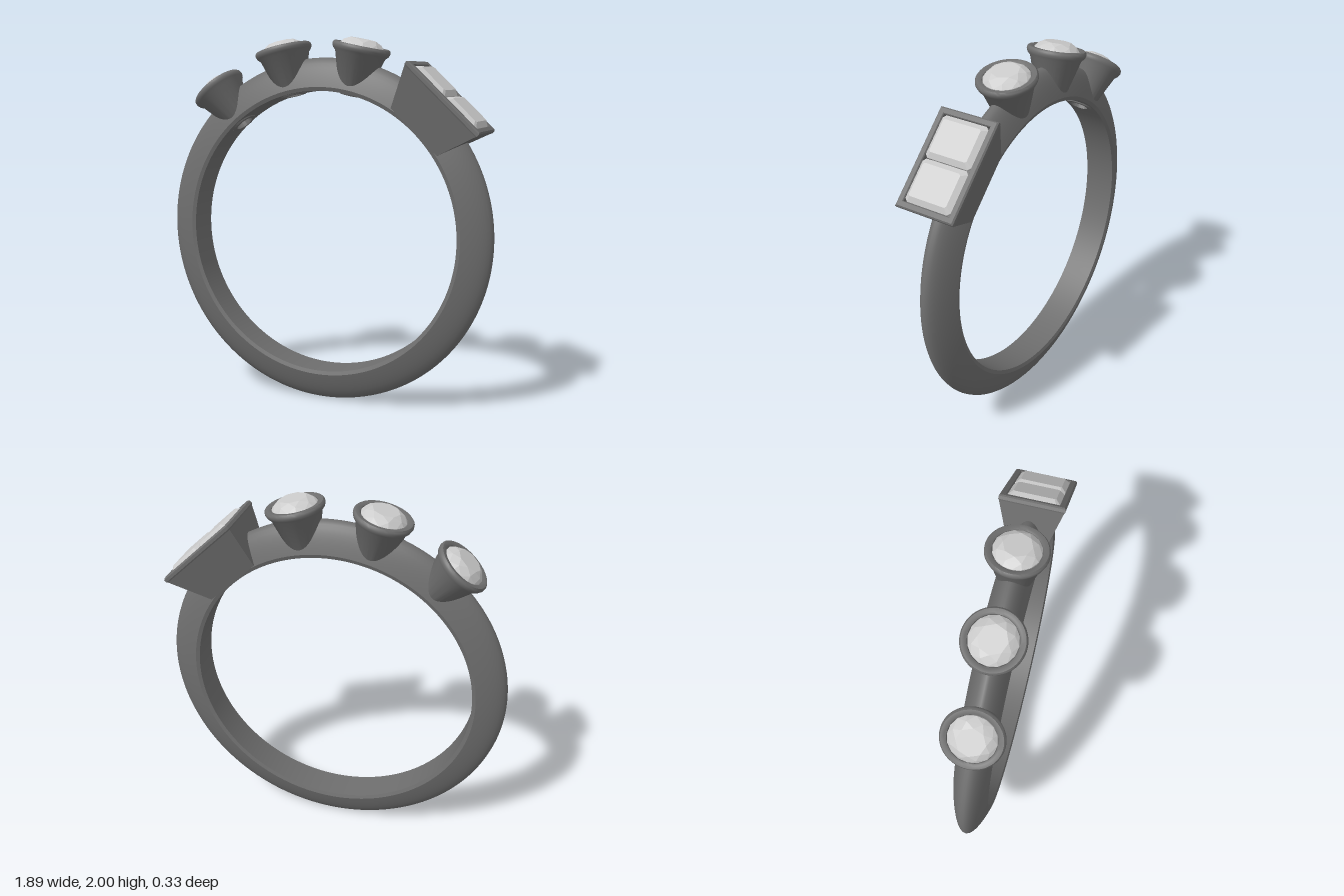
import * as THREE from 'three';
import { toCreasedNormals } from 'three/addons/utils/BufferGeometryUtils.js';
import { ConvexGeometry } from 'three/addons/geometries/ConvexGeometry.js';

const metal = new THREE.MeshStandardMaterial({ color: 0x6e6e6e });
const stone = new THREE.MeshStandardMaterial({ color: 0xcccccc });
const CENTRE = 0.945;
const INNER = 0.77;
const CUP_ANGLES = [-40, -14, 12].map(THREE.MathUtils.degToRad);
const BOX_ANGLE = THREE.MathUtils.degToRad(43.5);

function part(name, geometry, material) {
  const mesh = new THREE.Mesh(geometry, material);
  mesh.name = name;
  return mesh;
}

// Group whose local y points out from the hoop centre
function radialGroup(name, angle) {
  const g = new THREE.Group();
  g.name = name;
  g.position.y = CENTRE;
  g.rotation.z = -angle;
  return g;
}

// Band: flat inside, parabolic outside, pierced inward under each cup
function hoopGeometry() {
  const half = 0.093, pts = [];
  for (let i = 0; i <= 20; i++) {
    const u = Math.sin((i / 20 - 0.5) * Math.PI);
    pts.push(new THREE.Vector2(0.79 + 0.155 * (1 - u * u), u * half));
  }
  for (let i = 0; i <= 24; i++) {
    pts.push(new THREE.Vector2(INNER, 0.086 * (1 - i / 12)));
  }
  pts.push(pts[0].clone());
  const geo = new THREE.LatheGeometry(pts, 360);
  geo.rotateX(Math.PI / 2);
  const p = geo.attributes.position;
  for (let i = 0; i < p.count; i++) {
    const x = p.getX(i), y = p.getY(i), z = p.getZ(i), r = Math.hypot(x, y);
    if (r > 0.775) continue;
    for (const a of CUP_ANGLES) {
      const across = x * Math.cos(a) - y * Math.sin(a);
      const along = x * Math.sin(a) + y * Math.cos(a);
      if (along > 0 && Math.hypot(across, z) < 0.061) {
        p.setXY(i, x * 0.88 / r, y * 0.88 / r);
      }
    }
  }
  return toCreasedNormals(geo, 0.6);
}

// Tapered cup with a rounded lip and a bore through its foot
function cupGeometry() {
  const profile = [
    [0.05, 0.762], [0.068, 0.762], [0.073, 0.77], [0.135, 0.98], [0.15, 0.995],
    [0.156, 1.01], [0.155, 1.022], [0.148, 1.03], [0.13, 1.03], [0.121, 1.024],
    [0.118, 1.01], [0.05, 0.9], [0.05, 0.762],
  ].map(([r, h]) => new THREE.Vector2(r, h));
  return toCreasedNormals(new THREE.LatheGeometry(profile, 64), 0.7);
}

// Brilliant cut from rings of [radius, height, count, turn]
function roundGemGeometry() {
  const pts = [new THREE.Vector3(0, 0.905, 0)];
  const rings = [[0.072, 1.062, 8, 0], [0.1, 1.046, 8, 0.5], [0.119, 1.024, 16, 0], [0.119, 1.016, 16, 0]];
  for (const [r, h, n, turn] of rings) {
    for (let i = 0; i < n; i++) {
      const a = (i + turn) / n * Math.PI * 2;
      pts.push(new THREE.Vector3(r * Math.cos(a), h, r * Math.sin(a)));
    }
  }
  return new ConvexGeometry(pts);
}

// Step cut with clipped corners from [half length, half width, height, clip]
function stepGemGeometry() {
  const pts = [];
  const steps = [[0.085, 0.107, 1.045, 0.008], [0.111, 0.131, 1.024, 0.016], [0.111, 0.131, 1.012, 0.016], [0.03, 0.06, 0.952, 0.005]];
  for (const [l, w, h, c] of steps) {
    for (const sx of [-1, 1]) for (const sz of [-1, 1]) {
      pts.push(new THREE.Vector3(sx * (l - c), h, sz * w), new THREE.Vector3(sx * l, h, sz * (w - c)));
    }
  }
  return new ConvexGeometry(pts);
}

// Rectangular loft through [half length, half width, height], flat shaded
function rectLoft(rings) {
  const pos = [], index = [];
  for (const [l, w, h] of rings) pos.push(-l, h, w, l, h, w, l, h, -w, -l, h, -w);
  for (let k = 0; k < rings.length - 1; k++) {
    for (let i = 0; i < 4; i++) {
      const a = k * 4 + i, b = k * 4 + (i + 1) % 4;
      index.push(a, b, b + 4, a, b + 4, a + 4);
    }
  }
  const t = (rings.length - 1) * 4;
  index.push(0, 2, 1, 0, 3, 2, t, t + 1, t + 2, t, t + 2, t + 3);
  const geo = new THREE.BufferGeometry();
  geo.setAttribute('position', new THREE.Float32BufferAttribute(pos, 3));
  geo.setIndex(index);
  const flat = geo.toNonIndexed();
  flat.computeVertexNormals();
  return flat;
}

export function createModel() {
  const ring = new THREE.Group();
  ring.name = 'ring';

  const hoop = part('hoop', hoopGeometry(), metal);
  hoop.position.y = CENTRE;
  ring.add(hoop);

  // Three round settings
  const cup = cupGeometry(), roundGem = roundGemGeometry();
  CUP_ANGLES.forEach((a, i) => {
    const g = radialGroup(`roundSetting${i + 1}`, a);
    g.add(part('cup', cup, metal), part('roundGem', roundGem, stone));
    ring.add(g);
  });

  // Rectangular setting with two step-cut gems
  const box = radialGroup('rectangularSetting', BOX_ANGLE);
  box.add(part('boxSetting', rectLoft([
    [0.172, 0.1, 0.778], [0.255, 0.162, 1.0], [0.26, 0.166, 1.007], [0.26, 0.166, 1.023],
    [0.253, 0.159, 1.03], [0.23, 0.136, 1.03], [0.226, 0.132, 1.025], [0.226, 0.132, 0.95],
  ]), metal));
  const stepGem = stepGemGeometry();
  for (const s of [-1, 1]) {
    const gem = part('stepGem', stepGem, stone);
    gem.position.x = s * 0.113;
    box.add(gem);
  }
  ring.add(box);
  return ring;
}
